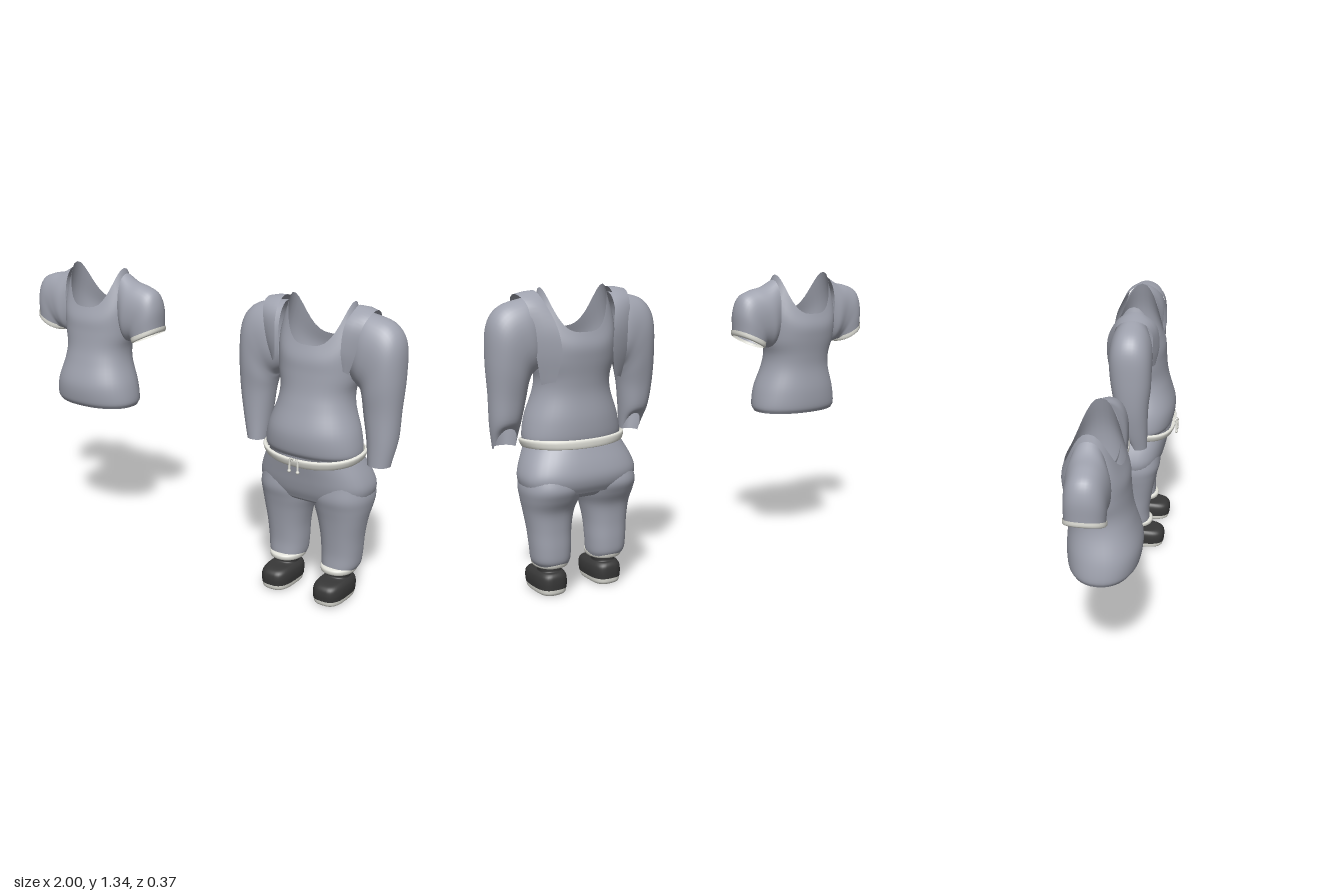
import * as THREE from 'three';

const mat = (name, color) => {
  const m = new THREE.MeshStandardMaterial({ color, side: THREE.DoubleSide });
  m.name = name;
  return m;
};
const V = (x, y, z) => new THREE.Vector3(x, y, z);
const SEG = 40;

// superellipse cosine / sine
const pw = (v, n) => Math.sign(v) * Math.pow(Math.abs(v), 2 / n);

// closed cross-section; fn receives cosine and sine of each step
const section = (fn, n = 2) => Array.from({ length: SEG }, (_, i) => {
  const a = (i / SEG) * Math.PI * 2;
  return fn(pw(Math.cos(a), n), pw(Math.sin(a), n));
});

// level ring: height, centre x, half width, front z, back z
const level = (y, cx, rx, f, b, n = 2.2) =>
  section((c, s) => V(cx + rx * c, y, (f + b) / 2 + ((f - b) / 2) * s), n);

// ring spanned between an outer and an inner point, mirrored by side
const limbRing = (side, [ox, oy, ix, iy, rz, cz, lift = 0]) =>
  section((c, s) => {
    const z = side * s;
    return V(side * ((ox + ix) / 2 + ((ox - ix) / 2) * c),
      (oy + iy) / 2 + ((oy - iy) / 2) * c + lift * Math.max(0, -z), cz + rz * z);
  }, 2.2);

// smooth skin over cross-sections, listed bottom to top
function loft(name, material, rings, { closed = true, steps = 5, caps = false } = {}) {
  const cols = rings[0].length, rows = (rings.length - 1) * steps + 1;
  const curves = rings[0].map((_, j) =>
    new THREE.CatmullRomCurve3(rings.map(r => r[j]), false, 'catmullrom', 0.5));
  const pos = [], idx = [];
  for (let i = 0; i < rows; i++)
    for (const c of curves) pos.push(...c.getPoint(i / (rows - 1)).toArray());
  for (let i = 0; i < rows - 1; i++)
    for (let j = 0; j < (closed ? cols : cols - 1); j++) {
      const k = (j + 1) % cols;
      const a = i * cols + j, b = i * cols + k, c = a + cols, d = b + cols;
      idx.push(a, c, b, b, c, d);
    }
  if (caps)
    for (const [ring, top] of [[rings[0], false], [rings[rings.length - 1], true]]) {
      const base = pos.length / 3, mid = V(0, 0, 0);
      ring.forEach(p => { pos.push(p.x, p.y, p.z); mid.addScaledVector(p, 1 / cols); });
      pos.push(mid.x, mid.y, mid.z);
      for (let j = 0; j < cols; j++) {
        const a = base + j, b = base + (j + 1) % cols;
        idx.push(base + cols, top ? b : a, top ? a : b);
      }
    }
  const g = new THREE.BufferGeometry();
  g.setAttribute('position', new THREE.Float32BufferAttribute(pos, 3));
  g.setIndex(idx);
  g.computeVertexNormals();
  const m = new THREE.Mesh(g, material);
  m.name = name;
  return m;
}

// shirt body with a scooped neckline that peaks at the shoulders
function shirtBody(material) {
  const neckY = c => 1.15 + 0.185 * Math.pow(Math.abs(c), 3.5);
  const upper = (t, rx, f, b) => section((c, s) =>
    V(rx * c, 1.03 + (neckY(c) - 1.03) * t, (f + b) / 2 + ((f - b) / 2) * s), 2.2);
  return loft('shirtBody', material, [
    level(0.67, 0, 0.212, 0.15, -0.122),
    level(0.7, 0, 0.222, 0.166, -0.135),
    level(0.78, 0, 0.208, 0.172, -0.138),
    level(0.88, 0, 0.174, 0.146, -0.13),
    level(0.95, 0, 0.167, 0.13, -0.135),
    level(1.03, 0, 0.184, 0.122, -0.148),
    upper(0.5, 0.186, 0.118, -0.153),
    upper(1, 0.15, 0.1, -0.14),
  ]);
}

export function createModel() {
  const fabric = mat('greyFabric', 0xa0a3af);
  const trim = mat('creamTrim', 0xe4e4dc);
  const dark = mat('darkShoe', 0x383838);
  const model = new THREE.Group();
  model.name = 'clothingSet';

  // short-sleeved shirt
  const tee = new THREE.Group();
  tee.name = 'shortSleevedShirt';
  tee.position.x = -0.63;
  tee.add(shirtBody(fabric));
  for (const s of [-1, 1]) {
    tee.add(loft('shortSleeve', fabric, [
      [0.37, 1.075, 0.222, 1.0, 0.08, -0.012],
      [0.371, 1.17, 0.215, 0.998, 0.083, -0.012],
      [0.345, 1.238, 0.21, 0.995, 0.084, -0.012],
      [0.285, 1.266, 0.2, 0.99, 0.087, -0.012],
      [0.22, 1.28, 0.185, 0.99, 0.09, -0.015],
      [0.165, 1.31, 0.165, 1.0, 0.075, -0.02],
    ].map(r => limbRing(s, r))));
    tee.add(loft('sleeveTrim', trim, [
      [0.366, 1.056, 0.232, 0.99, 0.078, -0.012],
      [0.374, 1.066, 0.222, 0.992, 0.085, -0.012],
      [0.374, 1.084, 0.217, 1.012, 0.085, -0.012],
    ].map(r => limbRing(s, r)), { steps: 2 }));
  }
  model.add(tee);

  // full outfit
  const outfit = new THREE.Group();
  outfit.name = 'outfit';
  outfit.position.x = 0.607;
  outfit.add(shirtBody(fabric));

  // pelvis of the trousers, open at the waist
  outfit.add(loft('trouserSeat', fabric, [
    level(0.465, 0, 0.24, 0.1, -0.16, 2.6),
    level(0.5, 0, 0.258, 0.116, -0.178, 2.6),
    level(0.54, 0, 0.264, 0.128, -0.184, 2.6),
    level(0.59, 0, 0.25, 0.14, -0.174, 2.5),
    level(0.66, 0, 0.218, 0.158, -0.15, 2.3),
  ]));
  outfit.add(loft('crotchGusset', fabric,
    [[0.5, 0.114], [0.455, 0.088], [0.435, 0.03], [0.43, -0.04], [0.44, -0.12], [0.5, -0.174]]
      .map(([y, z]) => [V(-0.07, y, z), V(0, y, z), V(0.07, y, z)]), { closed: false }));

  // waistband, higher at the back and sides
  const band = (y, rx, f, b) => section((c, s) =>
    V(rx * c, y - 0.014 * s + 0.012 * c * c, (f + b) / 2 + ((f - b) / 2) * s), 2.3);
  outfit.add(loft('waistband', trim, [
    band(0.642, 0.212, 0.156, -0.148),
    band(0.648, 0.224, 0.168, -0.156),
    band(0.676, 0.234, 0.178, -0.157),
    band(0.682, 0.222, 0.166, -0.146),
  ], { steps: 3 }));

  for (const s of [-1, 1]) {
    // drawstring end
    const cord = new THREE.CatmullRomCurve3([
      V(s * 0.008, 0.665, 0.172), V(s * 0.016, 0.672, 0.184),
      V(s * 0.02, 0.645, 0.183), V(s * 0.021, 0.615, 0.183)]);
    const string = new THREE.Mesh(new THREE.TubeGeometry(cord, 12, 0.005, 8), trim);
    string.name = 'drawstring';
    const tip = new THREE.Mesh(new THREE.SphereGeometry(0.008, 10, 8), trim);
    tip.name = 'drawstringTip';
    tip.position.set(s * 0.021, 0.616, 0.183);
    outfit.add(string, tip);

    // long sleeve with a notched cuff, the left one hanging further out
    const lean = s > 0 ? 0.03 : 0;
    outfit.add(loft('longSleeve', fabric, [
      [0.336 + lean, 0.668, 0.248 + lean * 0.6, 0.668, 0.055, 0.012, 0.09],
      [0.362 + lean * 0.6, 0.77, 0.24 + lean * 0.4, 0.77, 0.07, -0.002, 0.02],
      [0.384, 0.9, 0.23, 0.88, 0.08, -0.008],
      [0.391, 1.05, 0.222, 0.93, 0.094, -0.012],
      [0.383, 1.19, 0.215, 0.955, 0.1, -0.016],
      [0.335, 1.262, 0.21, 0.97, 0.102, -0.018],
      [0.25, 1.29, 0.195, 0.985, 0.1, -0.02],
      [0.17, 1.3, 0.17, 1.0, 0.08, -0.02],
    ].map(r => limbRing(s, r))));

    // open jacket edge: inner x, outer x, y, inner z, outer z
    outfit.add(loft('jacketEdge', fabric, [
      [0.165, 0.185, 1.06, 0.088, 0.075],
      [0.16, 0.215, 1.15, 0.104, 0.08],
      [0.165, 0.235, 1.25, 0.092, 0.078],
      [0.175, 0.252, 1.305, 0.04, 0.045],
      [0.175, 0.256, 1.322, -0.02, -0.02],
      [0.165, 0.24, 1.28, -0.09, -0.09],
      [0.135, 0.23, 1.18, -0.144, -0.11],
      [0.12, 0.215, 1.07, -0.155, -0.11],
      [0.14, 0.19, 0.95, -0.13, -0.095],
    ].map(([xi, xo, y, zi, zo]) => [
      V(s * xi, y, zi),
      V(s * (xi + xo) / 2, y - 0.003, (zi + zo) / 2 + Math.sign(zi) * 0.006),
      V(s * xo, y - 0.012, zo)]), { closed: false }));

    // trouser leg: height, centre, half width, front, back
    outfit.add(loft('trouserLeg', fabric, [
      [0.14, 0.132, 0.074, 0.065, -0.1],
      [0.165, 0.135, 0.083, 0.064, -0.112],
      [0.22, 0.136, 0.088, 0.064, -0.116],
      [0.3, 0.137, 0.094, 0.074, -0.117],
      [0.38, 0.136, 0.108, 0.088, -0.126],
      [0.44, 0.132, 0.124, 0.102, -0.156],
      [0.49, 0.131, 0.13, 0.114, -0.174],
      [0.55, 0.13, 0.12, 0.112, -0.16],
    ].map(([y, c, r, f, b]) => level(y, s * c, r, f, b, 2.3))));
    outfit.add(loft('trouserCuff', trim, [
      [0.128, 0.064, 0.066, -0.09],
      [0.133, 0.073, 0.078, -0.1],
      [0.152, 0.077, 0.08, -0.106],
      [0.16, 0.07, 0.06, -0.1],
    ].map(([y, r, f, b]) => level(y, s * 0.132, r, f, b)), { steps: 3 }));

    // shoe: sole, upper and ankle collar
    const shoe = rows => rows.map(([y, r, f, b, n]) => level(y, s * 0.134, r, f, b, n));
    outfit.add(loft('shoeSole', trim, shoe([
      [0.0, 0.052, 0.12, -0.07, 3],
      [0.01, 0.063, 0.136, -0.084, 3],
      [0.032, 0.067, 0.141, -0.088, 3],
    ]), { steps: 3, caps: true }));
    outfit.add(loft('shoeUpper', dark, shoe([
      [0.03, 0.068, 0.142, -0.089, 3],
      [0.06, 0.07, 0.144, -0.09, 3],
      [0.085, 0.066, 0.137, -0.087, 3],
      [0.1, 0.056, 0.112, -0.076, 2.7],
      [0.104, 0.05, 0.05, -0.062, 2.3],
      [0.122, 0.052, 0.046, -0.06, 2.2],
    ])));
  }
  model.add(outfit);
  return model;
}
